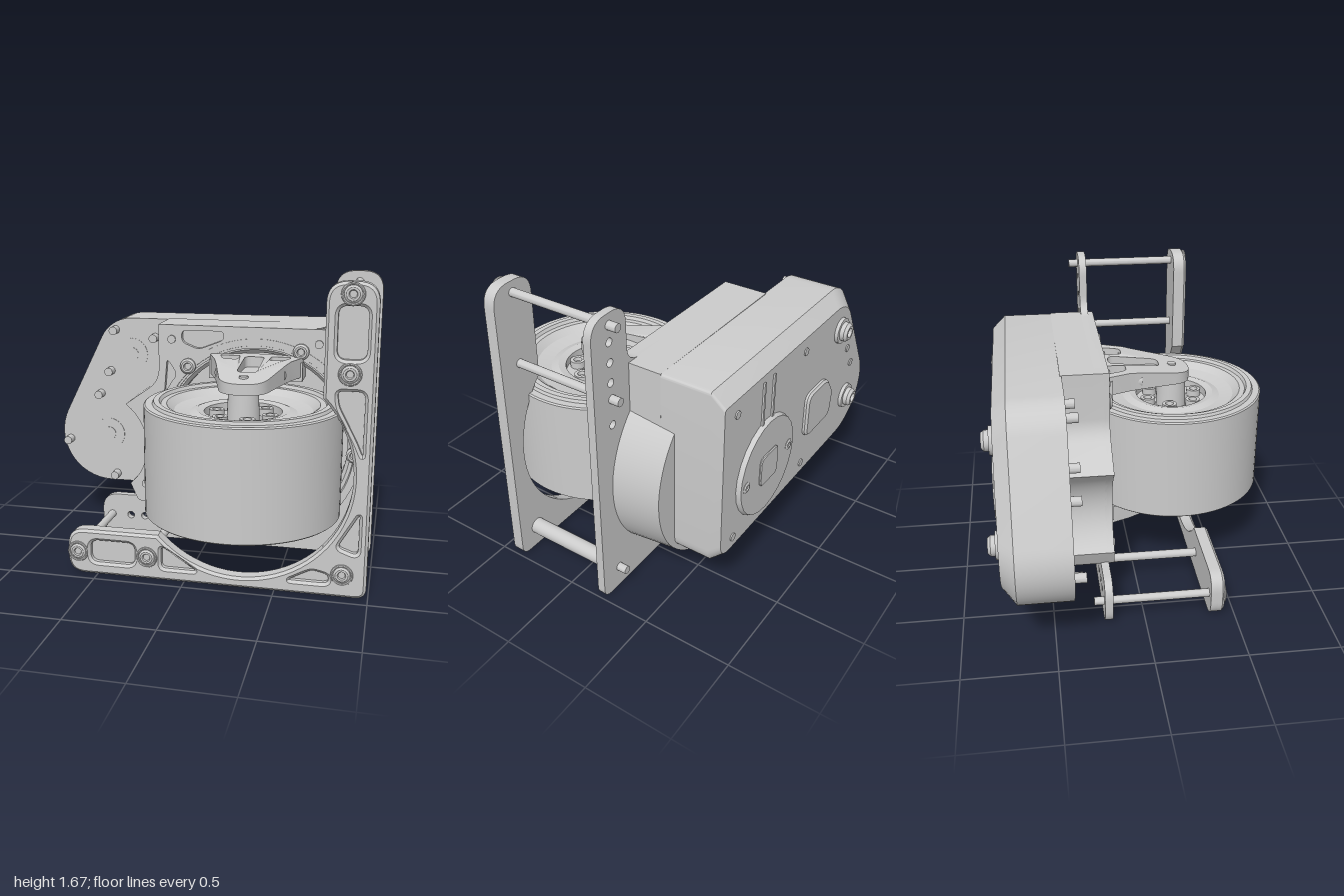
import * as THREE from 'three';
import { toCreasedNormals } from 'three/addons/utils/BufferGeometryUtils.js';

const CX = 0.3, CY = 0.66; // axis of the round drum
const WY = 0.7, WZ = 0.28; // wheel centre

// Rounded polygon from [x, y, cornerRadius] points
function poly(pts, target = new THREE.Shape()) {
  const n = pts.length;
  pts.forEach((p, i) => {
    const [x, y, r = 0] = p;
    const toward = (q) => {
      const t = r ? Math.min(r / Math.hypot(q[0] - x, q[1] - y), 0.48) : 0;
      return [x + (q[0] - x) * t, y + (q[1] - y) * t];
    };
    const start = toward(pts[(i + n - 1) % n]);
    if (i === 0) target.moveTo(...start); else target.lineTo(...start);
    if (r) target.quadraticCurveTo(x, y, ...toward(pts[(i + 1) % n]));
  });
  target.closePath();
  return target;
}
const arc = (x, y, r, a0, a1, n = 40) => Array.from({ length: n + 1 }, (_, i) => {
  const a = a0 + (a1 - a0) * i / n;
  return [x + r * Math.cos(a), y + r * Math.sin(a)];
});
const box = (x0, y0, x1, y1, r) => [[x0, y0, r], [x1, y0, r], [x1, y1, r], [x0, y1, r]];
const hole = (x, y, r) => new THREE.Path().absarc(x, y, r, 0, Math.PI * 2, true);
const pocket = (pts) => poly(pts, new THREE.Path());

export function createModel() {
  const root = new THREE.Group();
  const mat = new THREE.MeshStandardMaterial({ color: 0xcccccc });
  const add = (name, geo, parent = root, crease = 0.5) => {
    const m = new THREE.Mesh(toCreasedNormals(geo, crease), mat);
    m.name = name;
    parent.add(m);
  };
  const slab = (shape, z0, z1, bevel = 0) => new THREE.ExtrudeGeometry(shape, {
    depth: z1 - z0 - 2 * bevel, curveSegments: 10, bevelEnabled: bevel > 0, bevelSegments: 1,
    bevelSize: bevel, bevelThickness: bevel, bevelOffset: -bevel,
  }).translate(0, 0, z0 + bevel);
  const rod = (name, x, y, r, z0, z1, r2 = r) =>
    add(name, new THREE.CylinderGeometry(r2, r, z1 - z0, 24).rotateX(Math.PI / 2).translate(x, y, (z0 + z1) / 2));
  const lathe = (pts, sides = 72) => new THREE.LatheGeometry(pts.map((p) => new THREE.Vector2(...p)), sides);
  const screw = (name, x, y, z, r, h, dir = 1) => {
    const g = lathe([[r, 0], [r, h * 0.6], [r * 0.75, h], [r * 0.5, h], [r * 0.4, h * 0.5], [0, h * 0.5]], 24);
    add(name, g.rotateX(dir * Math.PI / 2).translate(x, y, z));
  };

  // Front L-shaped frame plate with blind pockets
  const frontOutline = () => poly([
    [-0.67, 0, 0.1], [0.99, 0, 0.06], [0.99, 1.67, 0.11], [0.73, 1.67, 0.11],
    ...arc(CX, CY, 0.6, 0.771, -2.412), [-0.67, 0.26, 0.1],
  ]);
  add('frontPlateBack', slab(frontOutline(), 0.36, 0.4));
  const face = frontOutline();
  face.holes = [
    box(0.79, 1.28, 0.94, 1.55, 0.05),
    [[0.8, 1.12, 0.03], [0.94, 1.12, 0.04], [0.94, 0.78, 0.02], [0.91, 0.85, 0.03], [0.81, 1.04, 0.03]],
    box(-0.54, 0.07, -0.28, 0.2, 0.05),
    [[-0.13, 0.07, 0.03], [0.07, 0.07, 0.02], [-0.13, 0.2, 0.03]],
    [[0.57, 0.07, 0.03], [0.79, 0.07, 0.04], [0.79, 0.12, 0.03], [0.7, 0.14, 0.03]],
    [[0.94, 0.24, 0.04], [0.94, 0.47, 0.02], [0.83, 0.28, 0.03]],
  ].map(pocket);
  add('frontPlateFace', slab(face, 0.38, 0.44, 0.015));

  // Rear frame plate behind the wheel
  const rear = poly([
    [-0.67, 0, 0.1], [0.99, 0, 0.06], [0.99, 1.67, 0.11], [0.73, 1.67, 0.11], [0.73, 1.34, 0.1],
    [-0.28, 1.34], [-0.28, 0.34, 0.06], [-0.42, 0.26, 0.06], [-0.67, 0.26, 0.1],
  ]);
  rear.holes = [[CX, CY, 0.56], ...[1.3, 1.41, 1.52, 1.06].map((y) => [0.86, y, 0.022]),
    ...[-0.49, -0.4, -0.31].map((x) => [x, 0.13, 0.022])].map((h) => hole(...h));
  add('rearPlate', slab(rear, -0.225, -0.18));

  // Spacer rods joining the plates, with screws at the front
  for (const [x, y, r] of [[0.86, 1.61, 0.023], [0.86, 1.21, 0.023], [0.86, 0.13, 0.045], [-0.21, 0.13, 0.025], [-0.61, 0.13, 0.023]]) {
    rod('spacerRod', x, y, r, -0.18, 0.37);
    rod('rodEnd', x, y, 0.023, -0.28, -0.17);
    screw('plateScrew', x, y, 0.43, 0.045, 0.02);
    add('screwCollar', new THREE.TorusGeometry(0.052, 0.008, 8, 28).translate(x, y, 0.44));
  }

  // Gearbox body: chamfered at the back
  const gearbox = poly([
    [0.72, 0.28, 0.1], [0.72, 1.34, 0.02],
    ...arc(-0.53, 1.115, 0.22, Math.PI / 2, 2.68, 10),
    ...arc(-0.69, 0.59, 0.31, 2.68, 4.71, 16),
  ]);
  const bodyGeo = new THREE.ExtrudeGeometry(gearbox, { depth: 1, steps: 2, bevelEnabled: false, curveSegments: 8 });
  const bp = bodyGeo.attributes.position;
  for (let i = 0; i < bp.count; i++) {
    const t = bp.getZ(i);
    if (t < 0.1) bp.setXY(i, 0.6 + (bp.getX(i) - 0.6) * 0.95, 0.81 + (bp.getY(i) - 0.81) * 0.86);
    bp.setZ(i, t < 0.1 ? -0.765 : t < 0.6 ? -0.69 : -0.4);
  }
  add('gearboxBody', bodyGeo, root, 0.4);

  // Housing block in front of the gearbox, open around the drum
  const blockOutline = () => poly([
    [0.72, 1.34], [-0.29, 1.34], [-0.29, 1.0, 0.08], [-0.5, 0.85],
    ...arc(-0.69, 0.59, 0.32, 0.9, -0.85, 16), [-0.43, 0.24, 0.03], [-0.07, 0.24],
    ...arc(CX, CY, 0.56, 3.98, 0.722),
  ]);
  add('housingBlock', slab(blockOutline(), -0.41, -0.18));
  const blockFace = blockOutline();
  blockFace.holes = [
    [[-0.15, 1.31, 0.03], [0.1, 1.31, 0.03], [0.1, 1.26, 0.03], [-0.05, 1.2, 0.03], [-0.15, 1.24, 0.03]],
    [[-0.24, 1.14, 0.03], [-0.18, 1.05, 0.03], [-0.26, 0.9, 0.03]],
    [[-0.3, 0.62, 0.03], [-0.26, 0.45, 0.03], [-0.18, 0.33, 0.03], [-0.32, 0.36, 0.03], [-0.35, 0.5, 0.03]],
  ].map(pocket);
  add('housingFace', slab(blockFace, -0.19, -0.15));
  for (const [x, y] of [[-0.21, 1.255], [0.65, 1.255], [-0.38, 0.355]]) rod('housingPin', x, y, 0.024, -0.17, -0.14);

  // Round drum that the wheel sits in, with its lip and ring bolts
  add('drum', lathe([[0, -0.49], [0.56, -0.49], [0.585, -0.21], [0.615, -0.21], [0.615, -0.145], [0.575, -0.145],
    [0.57, -0.165], [0.55, -0.165], [0.53, -0.19], [0.53, -0.27], [0, -0.27]]).rotateX(Math.PI / 2).translate(CX, CY, 0));
  for (const [x, y] of [[0.55, 1.21], [-0.11, 1.1], [0.87, 0.62], [0.38, 0.14]]) screw('ringBolt', x, y, -0.15, 0.046, 0.03);

  // Gearbox front pins and bearing bosses
  for (const [x, y] of [[-0.635, 1.26], [-0.38, 1.22], [-0.67, 1.0], [-0.74, 0.85], [-0.955, 0.54], [-0.645, 0.325]])
    rod('gearboxPin', x, y, 0.026, -0.42, -0.34);
  for (const [x, y] of [[-0.53, 1.11], [-0.69, 0.59]]) {
    rod('bearingBoss', x, y, 0.1, -0.41, -0.397);
    rod('bearingCentre', x, y, 0.042, -0.41, -0.393);
    rod('rearScrewSeat', x, y, 0.075, -0.785, -0.75);
    screw('rearScrew', x, y, -0.785, 0.055, 0.04, -1);
  }

  // Rear cover: round cap, raised pads, screws and rib pair
  rod('rearCap', 0.3, 0.7, 0.275, -0.79, -0.75, 0.29);
  for (const s of [-1, 1]) {
    screw('capScrew', 0.3 + s * 0.22, 0.7, -0.785, 0.032, 0.012, -1);
    add('coverRib', new THREE.BoxGeometry(0.015, 0.25, 0.02).translate(0.3 + s * 0.05, 1.1, -0.765));
  }
  add('capPad', slab(poly(box(0.21, 0.61, 0.39, 0.79, 0.04)), -0.8, -0.78, 0.005));
  add('rearPad', slab(poly([[-0.44, 0.6, 0.06], [-0.14, 0.6, 0.06], [-0.14, 0.88, 0.06], [-0.38, 0.88, 0.06], [-0.46, 0.76, 0.05]]), -0.79, -0.75, 0.012));
  for (const [x, y] of [[0.6, 1.18], [0.6, 0.42], [-0.1, 1.18], [-0.15, 0.42], [-0.66, 0.93], [-0.73, 0.8]])
    rod('coverPin', x, y, 0.022, -0.772, -0.75);

  // Wheel: tyre, rims and dished sides
  const half = [[0, 0.18], [0.12, 0.18], [0.12, 0.21], [0.21, 0.21], [0.21, 0.255], [0.25, 0.265], [0.29, 0.25],
    [0.37, 0.265], [0.41, 0.3], [0.44, 0.3], [0.45, 0.318], [0.48, 0.318], [0.487, 0.302], [0.525, 0.302], [0.533, 0.295]];
  const full = [...half.map(([r, y]) => [r, -y]), ...[...half].reverse()];
  add('wheel', lathe(full).translate(CX - 0.005, WY, WZ));

  // Fork arm with axle hub, mirrored above and below the wheel
  for (const s of [1, -1]) {
    const arm = new THREE.Group();
    arm.name = s > 0 ? 'upperFork' : 'lowerFork';
    arm.position.set(CX - 0.005, WY, 0);
    arm.scale.y = s;
    root.add(arm);
    const shape = poly([[-0.27, 0.2], [-0.27, 0.13, 0.03], [-0.2, -0.05, 0.05], [-0.11, -0.38, 0.1],
      [0.11, -0.38, 0.1], [0.2, -0.05, 0.05], [0.27, 0.13, 0.03], [0.27, 0.2]]);
    shape.holes = [pocket(box(-0.055, -0.2, 0.055, 0.1, 0.04)),
      ...[-1, 1].map((k) => pocket([[k * 0.09, 0.12, 0.02], [k * 0.21, 0.12, 0.03], [k * 0.17, 0.01, 0.03], [k * 0.09, 0.01, 0.02]]))];
    const g = new THREE.ExtrudeGeometry(shape, { depth: 0.11, bevelEnabled: false, curveSegments: 8 }).rotateX(-Math.PI / 2);
    const p = g.attributes.position;
    for (let i = 0; i < p.count; i++) { // arm thins toward the tip
      const k = Math.max(0, p.getZ(i) / 0.38);
      p.setY(i, p.getY(i) > 0.05 ? 0.48 - 0.06 * k : 0.37 - 0.01 * k);
    }
    add('forkArm', g, arm);
    add('forkWeb', new THREE.BoxGeometry(0.13, 0.04, 0.34).translate(0, 0.4, 0.05), arm);
    add('forkFoot', new THREE.BoxGeometry(0.54, 0.11, 0.18).translate(0, 0.4, -0.19), arm);
    add('axle', new THREE.CylinderGeometry(0.08, 0.09, 0.24, 32).translate(0, 0.29, WZ), arm);
    add('axlePin', new THREE.CylinderGeometry(0.025, 0.025, 0.03, 20).translate(0, 0.43, WZ), arm);
    for (let i = 0; i < 6; i++) {
      const a = (i + 0.2) * Math.PI / 3;
      add('hubBolt', lathe([[0.042, 0], [0.042, 0.04], [0.024, 0.04], [0.02, 0.02], [0, 0.02]], 24)
        .translate(0.155 * Math.cos(a), 0.21, WZ + 0.155 * Math.sin(a)), arm);
    }
    for (const k of [-0.155, 0.155])
      add('footBolt', new THREE.CylinderGeometry(0.045, 0.045, 0.1, 24).rotateX(Math.PI / 2).translate(k, 0.415, 0.03), arm);
  }
  return root;
}
